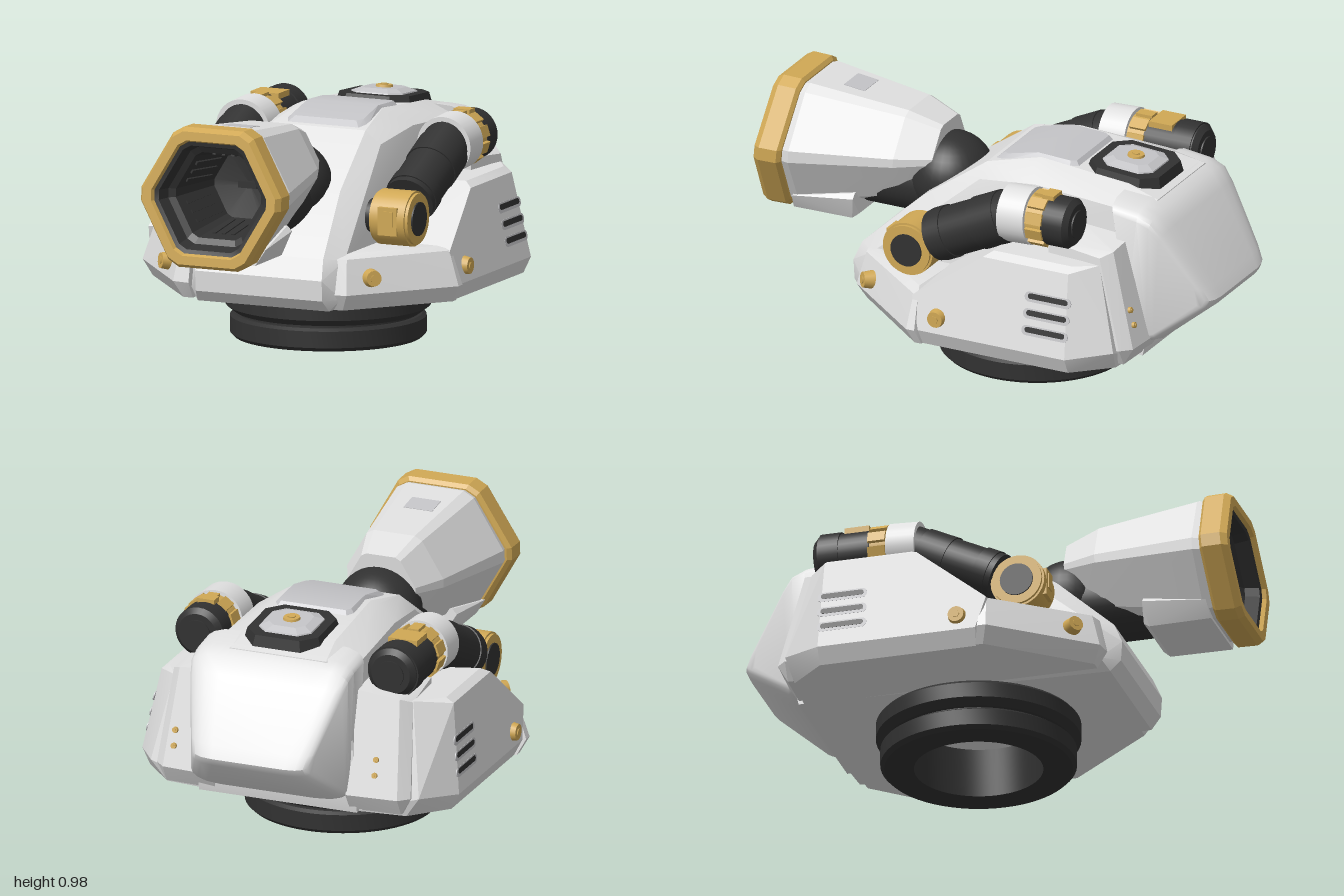
import * as THREE from 'three';
import { toCreasedNormals } from 'three/addons/utils/BufferGeometryUtils.js';
import { ConvexGeometry } from 'three/addons/geometries/ConvexGeometry.js';

const material = (name, color) => {
  const m = new THREE.MeshStandardMaterial({ color });
  m.name = name;
  return m;
};
const white = material('white armour', 0xe0e0e0);
const grey = material('grey panel', 0xc4c4c7);
const dark = material('dark metal', 0x313131);
const gold = material('gold trim', 0xd0a855);
const V = (x, y, z) => new THREE.Vector3(x, y, z);

function add(parent, name, geo, mat, x = 0, y = 0, z = 0) {
  const mesh = new THREE.Mesh(geo, mat);
  mesh.name = name;
  mesh.position.set(x, y, z);
  parent.add(mesh);
  return mesh;
}
// Solid armour piece spanned by its corner points
function hull(parent, name, pts, mat, crease = 0.35) {
  const geo = new ConvexGeometry(pts.map(p => V(...p)));
  return add(parent, name, toCreasedNormals(geo, crease), mat);
}
// Corner points mirrored about the plane x = cx
const both = (pts, cx) => pts.flatMap(([x, y, z]) => [[cx + x, y, z], [cx - x, y, z]]);
// Cylinder from a to b
function rod(parent, name, a, b, r, mat, r2 = r, sides = 32) {
  const dir = b.clone().sub(a);
  const mesh = add(parent, name, new THREE.CylinderGeometry(r2, r, dir.length(), sides), mat);
  mesh.position.copy(a).addScaledVector(dir, 0.5);
  mesh.quaternion.setFromUnitVectors(V(0, 1, 0), dir.normalize());
  return mesh;
}
// Gold bolt with a small raised centre
function bolt(parent, name, at, dir, r, h) {
  const n = dir.clone().normalize();
  const tip = at.clone().addScaledVector(n, h);
  rod(parent, name, at.clone().addScaledVector(n, -0.02), tip, r, gold, r * 0.8, 16);
  rod(parent, name + 'Centre', tip, tip.clone().addScaledVector(n, 0.004), r * 0.4, gold, r * 0.4, 6);
}
// Six-sided shell with clipped corners along z; z leans back with height, the axis rises toward the rear
function hexShell(parent, name, profile, mat, lean, rise) {
  const geo = new THREE.LatheGeometry(profile.map(p => new THREE.Vector2(...p)), 12, Math.PI / 12);
  geo.rotateX(Math.PI / 2);
  const p = geo.attributes.position, sixth = Math.PI / 3;
  for (let i = 0; i < p.count; i++) {
    const z = p.getZ(i), r = Math.hypot(p.getX(i), p.getY(i)) * 0.985;
    const angle = Math.atan2(p.getY(i), p.getX(i));
    const corner = Math.round(angle / sixth) * sixth;
    const a = corner + (angle - corner) / 3, y = r * Math.sin(a);
    p.setXYZ(i, r * Math.cos(a), y + (0.86 - z) * rise, z - lean * y);
  }
  return add(parent, name, toCreasedNormals(geo, 0.2), mat, 0.01, 0.71, 0);
}

function buildBase(g) {
  const profile = [[0.25, 0], [0.365, 0], [0.38, 0.015], [0.38, 0.08], [0.365, 0.09], [0.35, 0.09], [0.35, 0.1],
    [0.365, 0.1], [0.397, 0.125], [0.397, 0.185], [0.385, 0.198], [0.25, 0.198], [0.25, 0]];
  const geo = new THREE.LatheGeometry(profile.map(p => new THREE.Vector2(...p)), 64);
  add(g, 'turntable', toCreasedNormals(geo, 0.4), dark, 0.01, 0, -0.11);
}

function buildHull(g) {
  hull(g, 'centralHull', both([
    [0.28, 0.215, 0.5], [0.33, 0.215, -0.74], [0.27, 0.26, 0.54], [0.27, 0.34, 0.545], [0.26, 0.42, 0.51],
    [0.32, 0.26, 0.47], [0.32, 0.41, 0.44], [0.22, 0.645, 0.27], [0.2, 0.835, 0], [0.265, 0.785, 0], [0.17, 0.885, -0.22],
    [0.2, 0.87, -0.2], [0.285, 0.82, -0.25], [0.18, 0.853, -0.6], [0.3, 0.8, -0.6], [0.2, 0.82, -0.74],
    [0.29, 0.74, -0.72], [0.33, 0.3, -0.76]], 0.02), white);
  // Rounded rear pod: the side profile shrinks toward its flanks and narrows to the back
  const side = [[-0.6, 0.84], [-0.72, 0.825], [-0.78, 0.8], [-0.825, 0.74], [-0.975, 0.505], [-1, 0.455],
    [-0.985, 0.425], [-0.8, 0.275], [-0.77, 0.265], [-0.67, 0.35]];
  const layers = [[0.2, 1], [0.26, 0.985], [0.3, 0.945], [0.32, 0.9], [0.33, 0.84]];
  const taper = z => 1 - 0.25 * Math.max(0, (-0.75 - z) / 0.25) ** 1.5;
  hull(g, 'rearPod', layers.flatMap(([w, k]) => both(side.map(([z, y]) =>
    [w * taper(z), 0.55 + (y - 0.55) * k, -0.74 + (z + 0.74) * k]), 0.04)), white, 0.6);
  // Raised roof panel
  hull(g, 'roofPanel', both([
    [0.15, 0.84, -0.02], [0.175, 0.84, -0.05], [0.175, 0.86, -0.35], [0.15, 0.86, -0.385],
    [0.13, 0.862, -0.045], [0.15, 0.866, -0.07], [0.15, 0.897, -0.2], [0.15, 0.89, -0.34], [0.135, 0.888, -0.36]], 0.03), grey);
  // Roof hatch of stacked slabs with clipped corners
  const hatch = new THREE.Group();
  hatch.name = 'roofHatch';
  hatch.position.set(0.04, 0.857, -0.55);
  hatch.rotation.x = -0.07;
  g.add(hatch);
  const corners = (w, y) => both([[w, y, w * 0.62], [w, y, -w * 0.62], [w * 0.62, y, w], [w * 0.62, y, -w]], 0);
  const slab = (name, w1, w2, y1, y2, mat) => hull(hatch, name, [...corners(w1, y1), ...corners(w2, y2)], mat, 0.2);
  slab('hatchRim', 0.162, 0.148, -0.025, 0.025, dark);
  slab('hatchLid', 0.112, 0.108, 0.02, 0.03, grey);
  slab('hatchCap', 0.106, 0.075, 0.03, 0.043, grey);
  bolt(hatch, 'hatchBolt', V(0, 0.04, 0), V(0, 1, 0), 0.04, 0.012);
}

function buildSide(g, s) {
  const left = s > 0;
  const flip = pts => pts.map(([x, y, z]) => [x * s, y, z]);
  const topX = left ? 0.585 : 0.63, topY = left ? 0.63 : 0.665;
  const wallX = y => 0.662 + (topX - 0.662) * (y - 0.28) / (topY - 0.28);
  // Low front skirt
  hull(g, 'frontSkirt', flip([
    [0.3, 0.215, 0.46], [0.34, 0.215, 0.46], [0.64, 0.215, 0.1], [0.3, 0.215, 0.07], [0.64, 0.215, 0.07],
    [0.3, 0.28, 0.5], [0.37, 0.28, 0.49], [0.674, 0.28, 0.12], [0.674, 0.28, 0.085],
    [0.3, 0.415, 0.47], [0.355, 0.415, 0.455], [0.63, 0.415, 0.11], [0.63, 0.415, 0.09],
    [0.3, 0.43, 0.42], [0.34, 0.43, 0.41], [0.58, 0.43, 0.11], [0.3, 0.43, 0.09]]), white);
  // Tall side armour
  hull(g, 'sideArmour', flip([
    [0.3, 0.215, 0.07], [0.63, 0.215, 0.07], [0.63, 0.215, -0.56], [0.5, 0.215, -0.7], [0.3, 0.215, -0.72],
    [wallX(0.28), 0.28, 0.075], [wallX(0.28), 0.28, -0.56], [0.56, 0.3, -0.72],
    [wallX(0.41), 0.41, 0.115], [0.3, 0.42, 0.115],
    [wallX(topY - 0.02), topY - 0.02, -0.17], [wallX(topY - 0.02), topY - 0.02, -0.54],
    [topX - 0.03, topY, -0.2], [topX - 0.03, topY, -0.54], [0.5, topY, -0.63], [0.3, 0.63, -0.2], [0.3, 0.64, -0.6]]), white);
  // Spine beside the rear pod
  hull(g, 'rearSpine', flip([
    [0.28, 0.22, -0.4], [0.5, 0.22, -0.4], [0.28, 0.23, -0.74], [0.49, 0.23, -0.73], [0.28, 0.3, -0.785], [0.49, 0.3, -0.77],
    [0.53, 0.3, -0.73], [0.28, 0.7, -0.68], [0.46, 0.68, -0.67], [0.5, 0.66, -0.63], [0.28, 0.72, -0.4], [0.48, 0.68, -0.4]]), white);
  for (const y of [0.385, 0.445])
    bolt(g, 'rearStud', V(left ? 0.45 : -0.39, y, -0.775 + (y - 0.3) * 0.26), V(0, 0.25, -1), 0.014, 0.008);
  // Side vents: thin slots lying on the leaning wall, each with a dark gap
  const capsule = (length, r) => {
    const slot = new THREE.Shape();
    slot.absarc(length / 2, 0, r, -Math.PI / 2, Math.PI / 2);
    slot.absarc(-length / 2, 0, r, Math.PI / 2, Math.PI * 1.5);
    return new THREE.ExtrudeGeometry(slot, { depth: 0.004, bevelEnabled: false }).rotateY(s * Math.PI / 2);
  };
  for (const y of [0.365, 0.43, 0.495]) {
    const vent = add(g, 'sideVent', capsule(0.16, 0.02), grey, s * (wallX(y) - 0.003), y, -0.465);
    vent.rotation.z = s * Math.atan2(0.662 - topX, topY - 0.28);
    add(vent, 'ventGap', capsule(0.15, 0.011), dark, s * 0.001, 0.003, 0);
  }
  bolt(g, 'sideBolt', V(s * wallX(0.34), 0.34, 0), V(s, 0, 0), 0.04, 0.02);
  bolt(g, 'frontBolt', V(0.435 * s, 0.34, 0.4), V(0.7 * s, 0.1, 0.7), 0.038, 0.03);
}

function buildArm(g, s) {
  const left = s > 0;
  const arm = new THREE.Group();
  arm.name = left ? 'leftArm' : 'rightArm';
  arm.position.x = left ? 0.453 : -0.405;
  g.add(arm);
  // Front joint; its axle reaches further on the inner side
  const jy = 0.545, jz = 0.19;
  rod(arm, 'jointWheel', V(-0.07, jy, jz), V(0.07, jy, jz), 0.108, gold);
  rod(arm, 'jointWheelRim', V(-0.082, jy, jz), V(0.082, jy, jz), 0.1, gold);
  rod(arm, 'jointAxle', V(-0.115 * s, jy, jz), V(0.088 * s, jy, jz), 0.066, dark);
  add(arm, 'jointBlock', new THREE.BoxGeometry(0.08, 0.11, 0.04), gold, 0, jy, jz + 0.088);
  add(arm, 'jointPlate', new THREE.BoxGeometry(0.045, 0.06, 0.006), gold, 0, jy + 0.01, jz + 0.11);
  // Sloping tube with collars
  const a = V(0, 0.594, 0.1), b = V(0, 0.765, -0.26);
  const at = t => a.clone().lerp(b, t);
  rod(arm, 'armTube', a, b, 0.1, dark);
  rod(arm, 'tubeCollar', at(0.06), at(0.2), 0.105, dark);
  rod(arm, 'tubeCollar', at(0.54), at(0.84), 0.105, dark);
  // Elbow band, gold ring and end cap
  const y = 0.762, end = left ? -0.51 : -0.63;
  rod(arm, 'elbowBand', V(0, y - 0.005, -0.215), V(0, y, -0.33), 0.114, white);
  rod(arm, 'elbowRing', V(0, y, -0.32), V(0, y, -0.41), 0.098, gold);
  for (let i = 0; i < 10; i++) {
    const t = i / 10 * Math.PI * 2;
    const tooth = add(arm, 'ringTooth', new THREE.BoxGeometry(0.045, 0.02, 0.07), gold,
      Math.sin(t) * 0.098, y + Math.cos(t) * 0.098, -0.37);
    tooth.rotation.z = -t;
  }
  rod(arm, 'endCap', V(0, y, -0.4), V(0, y, end + 0.02), 0.1, dark);
  rod(arm, 'endCapBevel', V(0, y, end + 0.02), V(0, y, end), 0.1, dark, 0.08);
  rod(arm, 'endCapDisc', V(0, y, end), V(0, y, end - 0.006), 0.055, dark);
  if (!left) {
    add(arm, 'topClip', new THREE.BoxGeometry(0.12, 0.03, 0.1), gold, 0, y + 0.088, -0.46);
    rod(arm, 'endCapCollar', V(0, y, -0.525), V(0, y, -0.605), 0.106, dark);
  } else {
    add(arm, 'topClip', new THREE.BoxGeometry(0.07, 0.024, 0.05), gold, 0, y + 0.1, -0.4);
  }
}

function buildBarrel(g) {
  const barrel = new THREE.Group();
  barrel.name = 'barrel';
  g.add(barrel);
  // Ball mount and neck
  add(barrel, 'ballMount', new THREE.SphereGeometry(0.17, 32, 20), dark, 0.015, 0.655, 0.26);
  rod(barrel, 'barrelNeck', V(0.015, 0.62, 0.26), V(0.015, 0.62, 0.59), 0.14, dark);
  hexShell(barrel, 'barrelShell', [[0, 0.275], [0.145, 0.275], [0.205, 0.415], [0.284, 0.83], [0.274, 0.87]], white, 0.06, 0.06);
  hull(barrel, 'barrelKeel', both([[0.15, 0.446, 0.87], [0.145, 0.446, 0.62], [0.135, 0.465, 0.595], [0.19, 0.51, 0.86],
    [0.18, 0.54, 0.6], [0.16, 0.56, 0.6]], 0.01), white);
  hexShell(barrel, 'muzzleRing', [[0.23, 0.86], [0.285, 0.86], [0.302, 0.873], [0.304, 0.95], [0.288, 0.975],
    [0.25, 0.975], [0.24, 0.955], [0.23, 0.86]], gold, 0.09, 0);
  hexShell(barrel, 'muzzleBore', [[0.245, 0.96], [0.225, 0.955], [0.21, 0.9], [0.185, 0.885], [0.145, 0.62], [0, 0.6]], dark, 0.09, 0);
  // Ribs along the six bore walls
  for (let i = 0; i < 6; i++) for (const off of [-0.04, 0, 0.04]) {
    const rib = new THREE.BoxGeometry(0.014, 0.012, 0.18).rotateX(-0.13).translate(off, 0.147, 0).rotateZ(i * Math.PI / 3);
    add(barrel, 'boreRib', rib, dark, 0.01, 0.71, 0.75);
  }
  add(barrel, 'boreSlot', new THREE.BoxGeometry(0.08, 0.025, 0.02), dark, 0.01, 0.71, 0.615);
  // Inset plate on top
  const plate = add(barrel, 'topPlate', new THREE.BoxGeometry(0.12, 0.008, 0.09), grey, 0, 0.946, 0.66);
  plate.rotation.x = -0.115;
}

export function createModel() {
  const g = new THREE.Group();
  g.name = 'turret';
  buildBase(g);
  buildHull(g);
  for (const s of [-1, 1]) {
    buildSide(g, s);
    buildArm(g, s);
  }
  buildBarrel(g);
  return g;
}
